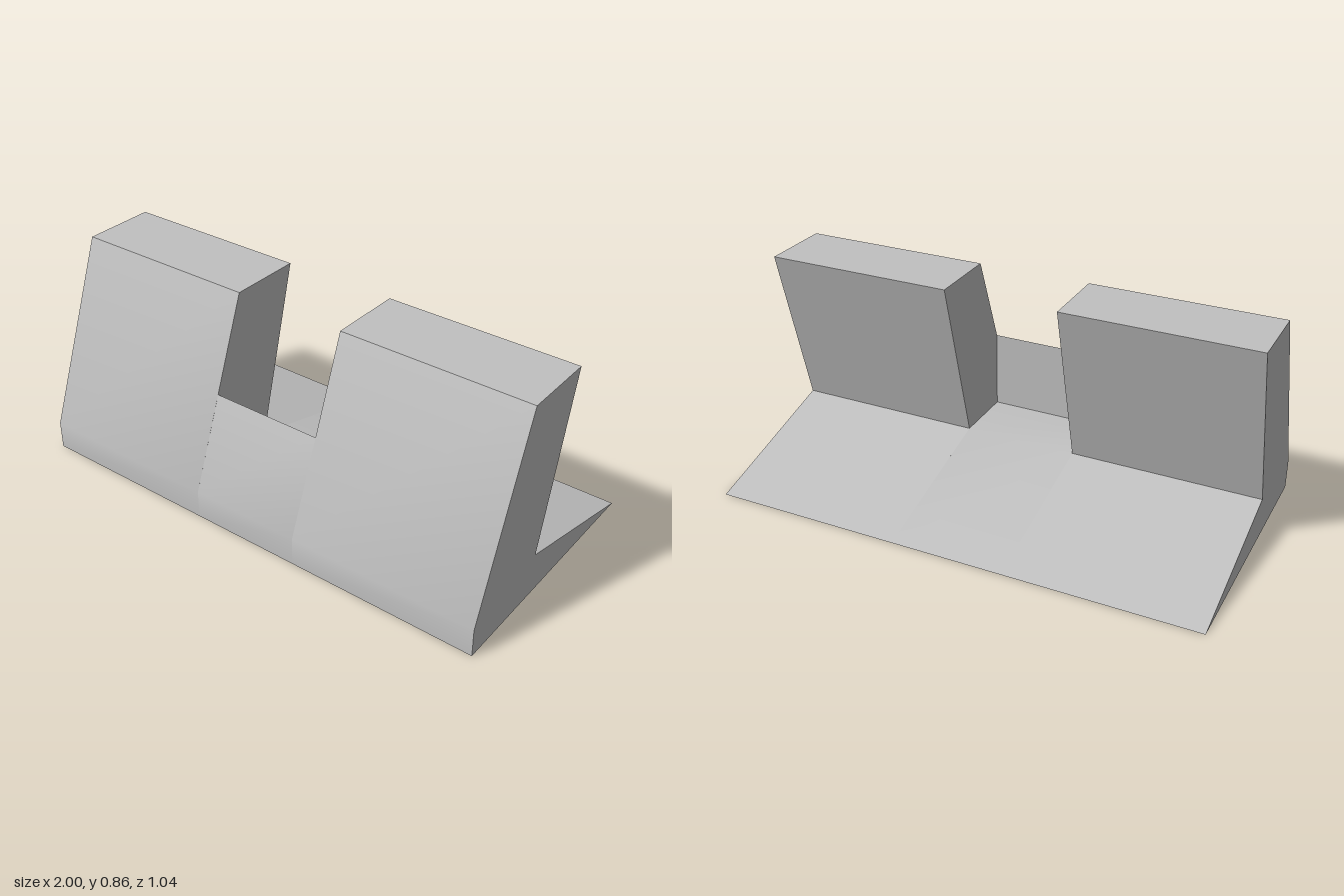
import * as THREE from 'three';
import { toCreasedNormals } from 'three/addons/utils/BufferGeometryUtils.js';

// Side profiles as [z, y] points, counter-clockwise
const uprightProfile = [[-0.52, 0], [0.52, 0], [0.52, 0.115], [0.235, 0.855], [-0.062, 0.855], [0.12, 0.17]];
const notchProfile = [[-0.52, 0], [0.52, 0], [0.52, 0.115], [0.377, 0.485], [0.377, 0.17], [0.12, 0.17]];
const NOTCH = 0.23; // half width of the notch

export function createModel() {
  const group = new THREE.Group();
  group.name = 'notchedStand';
  const grey = new THREE.MeshStandardMaterial({ color: 0xc0c0c0 });
  grey.name = 'light grey';

  // Sweeps a side profile across x0..x1, softening only the shallow bends
  function section(name, profile, x0, x1) {
    const shape = new THREE.Shape(profile.map(([z, y]) => new THREE.Vector2(z, y)));
    const geometry = new THREE.ExtrudeGeometry(shape, { depth: x1 - x0, bevelEnabled: false });
    geometry.rotateY(-Math.PI / 2).translate(x1, 0, 0);
    const mesh = new THREE.Mesh(toCreasedNormals(geometry, 0.5), grey);
    mesh.name = name;
    group.add(mesh);
  }

  // Leaning uprights with their share of the foot
  section('rightUpright', uprightProfile, -1, -NOTCH);
  section('leftUpright', uprightProfile, NOTCH, 1);
  // Low front wall, level floor and foot between the uprights
  section('notchBridge', notchProfile, -NOTCH, NOTCH);

  return group;
}
